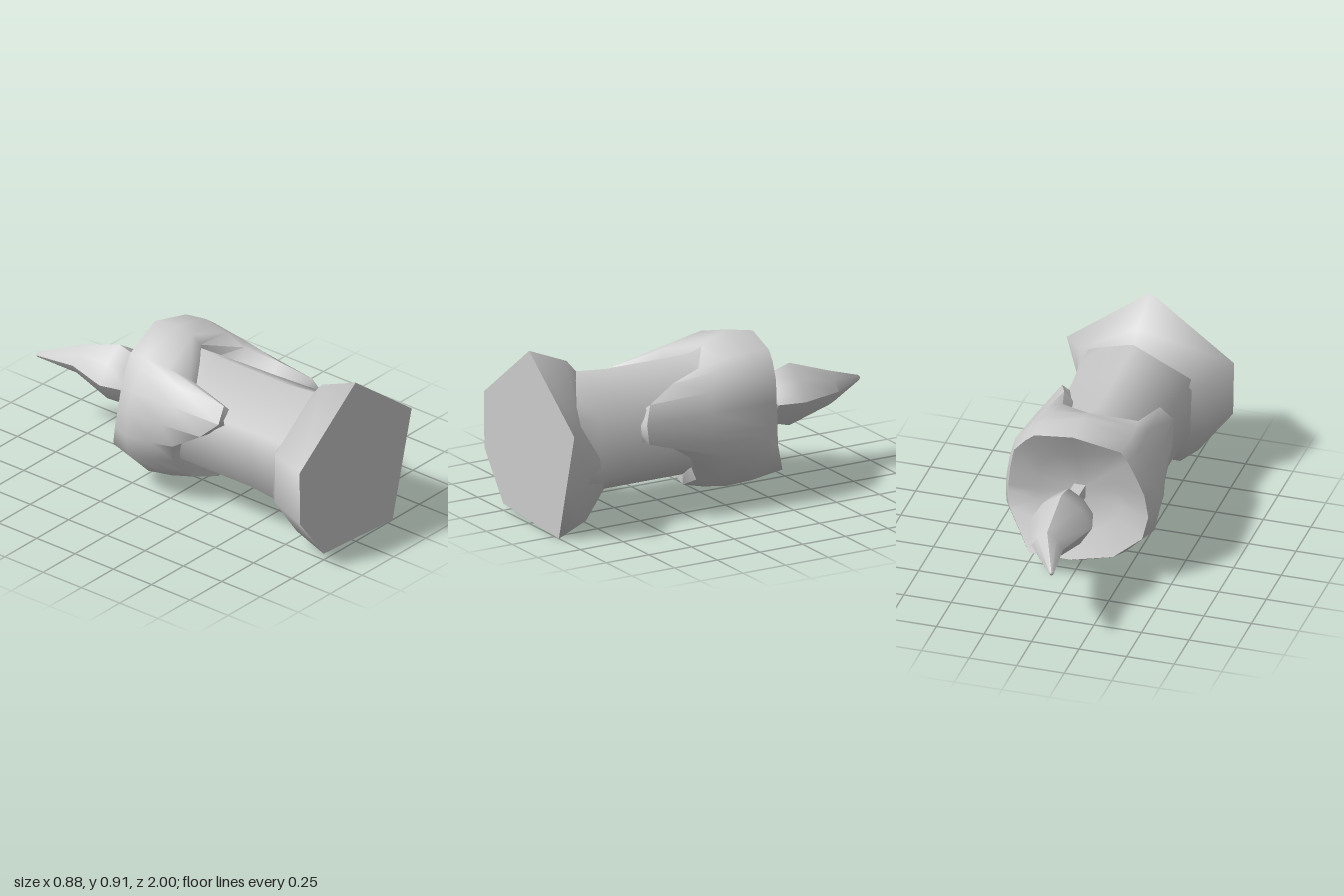
import * as THREE from 'three';
import { toCreasedNormals } from 'three/addons/utils/BufferGeometryUtils.js';

const AXIS_Y = 0.425;

// Point at a clock angle (degrees, 0 = up, 90 = +x) and radius round the candle's axis
function polar(deg, r, z) {
  const a = THREE.MathUtils.degToRad(deg);
  return [Math.sin(a) * r, AXIS_Y + Math.cos(a) * r, z];
}

// Skin over closed rings of equal length, running from -z to +z on the outside
function loft(rings, crease) {
  const n = rings[0].length, index = [];
  for (let i = 0; i < rings.length - 1; i++) {
    for (let j = 0; j < n; j++) {
      const a = i * n + j, b = i * n + (j + 1) % n;
      index.push(a, a + n, b, b, a + n, b + n);
    }
  }
  const geo = new THREE.BufferGeometry();
  geo.setAttribute('position', new THREE.Float32BufferAttribute(rings.flat(2), 3));
  geo.setIndex(index);
  return toCreasedNormals(geo, crease);
}

export function createModel() {
  const group = new THREE.Group();
  const material = new THREE.MeshStandardMaterial({ color: 0xcccccc, side: THREE.DoubleSide });
  const add = (name, geo) => {
    const mesh = new THREE.Mesh(geo, material);
    mesh.name = name;
    group.add(mesh);
  };

  // Six-sided shaft, slightly waisted
  const hex = [0, 60, 120, 180, 240, 300];
  const shaft = [[0.33, -0.05], [0.315, 0.1], [0.315, 0.55], [0.335, 0.76], [0.335, 0.95]];
  add('candleShaft', loft(shaft.map(([r, z]) => hex.map((a) => polar(a, r, z))), 1.2));

  // Flared foot: [foot corner, shoulder corner, upper edge angle and z]
  const foot = [
    [[0, 0.91, 1], [0, 0.82, 0.78], [0, 0.72]],
    [[0.44, 0.575, 1], [0.34, 0.58, 0.9], [60, 0.88]],
    [[0.365, 0.29, 1], [0.315, 0.35, 0.86], [95, 0.78]],
    [[0.29, 0, 1], [0.27, 0.06, 0.83], [135, 0.7]],
    [[-0.25, 0.035, 1], [-0.22, 0.08, 0.8], [207, 0.74]],
    [[-0.435, 0.28, 1], [-0.37, 0.3, 0.78], [247, 0.71]],
    [[-0.44, 0.575, 1], [-0.37, 0.57, 0.78], [292, 0.73]],
  ];
  add('flaredFoot', loft([
    foot.map((f) => polar(f[2][0], 0.325, f[2][1])),
    foot.map((f) => f[1]),
    foot.map((f) => f[0]),
  ], 2));

  // Flat underside of the foot
  const sole = new THREE.Shape(foot.map(([p]) => new THREE.Vector2(p[0], p[1])));
  add('footUnderside', new THREE.ShapeGeometry(sole).translate(0, 0, 1));

  // Melted wax: [angle, rim radius, rim z, bulge radius, lower edge radius, lower edge z]
  const wax = [
    [0, 0.375, -0.31, 0.405, 0.345, -0.01],
    [32, 0.395, -0.28, 0.41, 0.35, 0.12],
    [42, 0.39, -0.27, 0.41, 0.35, 0.3],
    [57, 0.39, -0.25, 0.415, 0.355, 0.47],
    [73, 0.365, -0.24, 0.395, 0.35, 0.51],
    [90, 0.36, -0.24, 0.395, 0.34, 0.5],
    [97, 0.36, -0.24, 0.4, 0.35, 0.36],
    [110, 0.37, -0.25, 0.42, 0.355, 0.24],
    [145, 0.375, -0.355, 0.4, 0.345, 0.14],
    [180, 0.325, -0.33, 0.42, 0.37, 0.1],
    [215, 0.36, -0.29, 0.405, 0.35, 0.1],
    [245, 0.395, -0.285, 0.425, 0.36, 0.08],
    [262, 0.385, -0.255, 0.415, 0.36, 0.1],
    [280, 0.365, -0.25, 0.41, 0.35, 0.27],
    [296, 0.36, -0.26, 0.4, 0.355, 0.37],
    [312, 0.375, -0.265, 0.395, 0.34, 0.35],
    [322, 0.39, -0.27, 0.415, 0.355, 0.1],
  ];
  add('meltedWax', loft([
    wax.map(() => [0, AXIS_Y, -0.18]),
    wax.map(([a, r, z]) => polar(a, r * 0.6, -0.195 + (z + 0.195) * 0.4)),
    wax.map(([a, r, z]) => polar(a, r, z)),
    wax.map(([a, , , r]) => polar(a, r, -0.16)),
    wax.map(([a, , , r, e, z]) => polar(a, r * 0.6 + e * 0.4, -0.1 + (z + 0.1) * 0.4)),
    wax.map(([a, , , , e, z]) => polar(a, e, z)),
    wax.map(([a, , , , , z]) => polar(a, 0.25, z)),
  ], 1.3));

  // Square wick
  add('wick', new THREE.BoxGeometry(0.06, 0.07, 0.22).translate(0, 0.425, -0.25));

  // Flame, a softened diamond bent sideways at the tip: [z, centre x, centre y, half width, half height]
  const flame = [
    [-1, -0.1, 0.41, 0, 0],
    [-0.99, -0.1, 0.41, 0.014, 0.014],
    [-0.77, -0.01, 0.42, 0.083, 0.088],
    [-0.53, -0.01, 0.425, 0.162, 0.165],
    [-0.39, -0.005, 0.425, 0.128, 0.125],
    [-0.34, 0, 0.42, 0.03, 0.04],
    [-0.34, 0, 0.42, 0, 0],
  ];
  const octagon = [0, 1, 2, 3, 4, 5, 6, 7];
  add('flame', loft(flame.map(([z, x, y, w, h]) => octagon.map((k) => {
    const a = k * Math.PI / 4, s = k % 2 ? 0.86 : 1;
    return [x + Math.sin(a) * w * s, y + Math.cos(a) * h * s, z];
  })), 1));

  return group;
}
